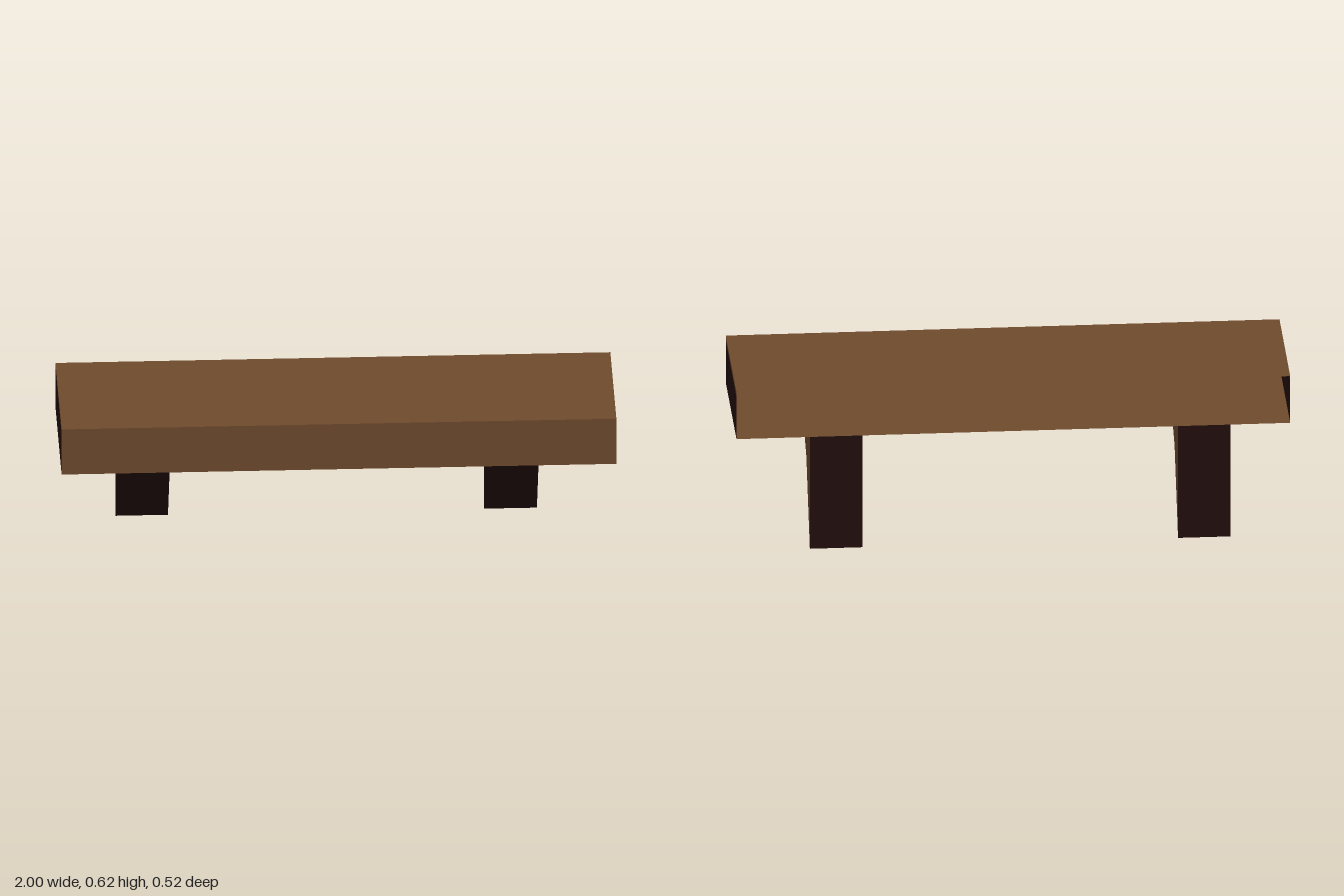
import * as THREE from 'three';

const TOP = 0.623, BOTTOM = 0.44, DEPTH = 0.26, STRIP = 0.017;

export function createModel() {
  const group = new THREE.Group();
  const wood = new THREE.MeshStandardMaterial({ color: 0x6e4a2d, side: THREE.DoubleSide });
  wood.name = 'brown wood';
  const dark = new THREE.MeshStandardMaterial({ color: 0x230d0d, side: THREE.DoubleSide });
  dark.name = 'dark wood';

  const add = (name, geometry, material) => {
    const mesh = new THREE.Mesh(geometry, material);
    mesh.name = name;
    group.add(mesh);
    return mesh;
  };

  // hollow shelf: top, floor and front board, open at the back
  const height = TOP - BOTTOM;
  add('shelfTop', new THREE.PlaneGeometry(2, 2 * DEPTH).rotateX(-Math.PI / 2), wood).position.y = TOP;
  add('shelfFloor', new THREE.PlaneGeometry(2, 2 * DEPTH).rotateX(-Math.PI / 2), wood).position.y = BOTTOM;
  add('shelfFront', new THREE.PlaneGeometry(2, height), wood).position.set(0, BOTTOM + height / 2, DEPTH);

  // dark end boards with a thin brown edge along the top
  for (const side of [-1, 1]) {
    const turn = side * Math.PI / 2;
    const label = side > 0 ? 'left' : 'right';
    add(label + 'EndBoard', new THREE.PlaneGeometry(2 * DEPTH, height - STRIP).rotateY(turn), dark)
      .position.set(side, (BOTTOM + TOP - STRIP) / 2, 0);
    add(label + 'EndEdge', new THREE.PlaneGeometry(2 * DEPTH, STRIP).rotateY(turn), wood)
      .position.set(side, TOP - STRIP / 2, 0);
  }

  // bracket profile, drawn as (-z, y)
  const profile = new THREE.Shape([
    [-0.178, 0.439], [0.09, 0.29], [0.256, 0], [0.256, 0.439],
  ].map(([x, y]) => new THREE.Vector2(x, y)));

  // brackets: brown cheek on the model's left, dark on all other faces
  for (const [name, x] of [['rightBracket', -0.785], ['leftBracket', 0.545]]) {
    const geometry = new THREE.ExtrudeGeometry(profile, { depth: 0.19, bevelEnabled: false });
    geometry.rotateY(Math.PI / 2);
    geometry.clearGroups();
    geometry.addGroup(0, 6, 1);
    geometry.addGroup(6, 6, 0);
    geometry.addGroup(12, geometry.attributes.position.count - 12, 1);
    add(name, geometry, [wood, dark]).position.x = x;
  }

  return group;
}
